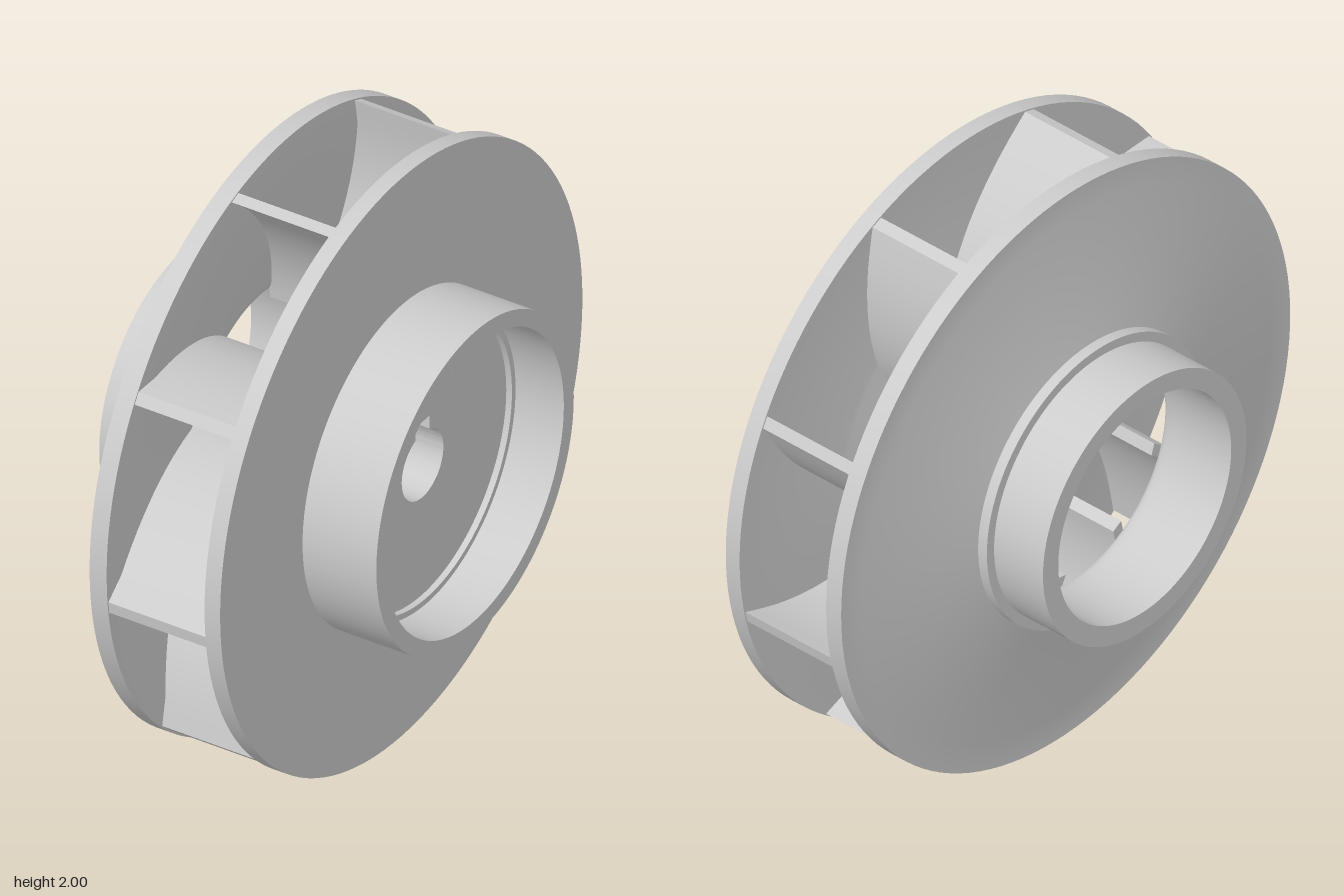
import * as THREE from 'three';
import { toCreasedNormals } from 'three/addons/utils/BufferGeometryUtils.js';

const BLADES = 9, TIP_R = 0.995, ROOT_R = 0.37;
const rad = THREE.MathUtils.degToRad;
const grey = new THREE.MeshStandardMaterial({ color: 0xcccccc });

function part(name, geometry) {
  const mesh = new THREE.Mesh(geometry, grey);
  mesh.name = name;
  return mesh;
}

// Revolve a closed [radius, x] profile around the x axis
function revolve(profile) {
  const g = new THREE.LatheGeometry(profile.map(([r, x]) => new THREE.Vector2(r, x)), 128);
  g.rotateZ(-Math.PI / 2);
  return toCreasedNormals(g, 0.45);
}

// Smooth a few [radius, x] points into a curve
function smooth(points, n) {
  return new THREE.SplineCurve(points.map(p => new THREE.Vector2(...p)))
    .getPoints(n).map(p => [p.x, p.y]);
}

// Inner wall of the shroud: flat at the rim, then a shallow cone
function shroudX(r) {
  return -0.145 - 0.08 * THREE.MathUtils.clamp((0.92 - r) / 0.47, 0, 1);
}

// Curved blade: four-cornered sections swept from root to tip
function bladeGeometry() {
  const steps = 16, sections = [], pos = [];
  for (let i = 0; i <= steps; i++) {
    const r = THREE.MathUtils.lerp(ROOT_R, TIP_R, i / steps);
    const mid = rad(28) * Math.pow((TIP_R - r) / (TIP_R - ROOT_R), 1.05);
    const half = 0.02 / r, left = shroudX(r) - 0.015, right = 0.21;
    sections.push([[left, -half], [right, -half], [right, half], [left, half]].map(([x, a]) =>
      [x, r * Math.sin(mid + a), r * Math.cos(mid + a)]));
  }
  const quad = (a, b, c, d) => pos.push(...a, ...b, ...c, ...a, ...c, ...d);
  for (let i = 0; i < steps; i++) {
    const s = sections[i], t = sections[i + 1];
    for (let k = 0; k < 4; k++) quad(s[k], s[(k + 1) % 4], t[(k + 1) % 4], t[k]);
  }
  quad(...sections[steps]);
  quad(...[...sections[0]].reverse());
  const g = new THREE.BufferGeometry();
  g.setAttribute('position', new THREE.Float32BufferAttribute(pos, 3));
  return toCreasedNormals(g, 0.5);
}

// Sleeve with the shaft bore and keyway cut through it
function hubCoreGeometry() {
  const shape = new THREE.Shape().absarc(0, 0, 0.175, 0, Math.PI * 2);
  const bore = 0.115, key = 0.038, a = Math.asin(key / bore);
  const hole = new THREE.Path();
  hole.moveTo(key, 0.155);
  hole.lineTo(key, bore * Math.cos(a));
  hole.absarc(0, 0, bore, Math.PI / 2 - a, Math.PI / 2 + a, true);
  hole.lineTo(-key, 0.155);
  hole.closePath();
  shape.holes.push(hole);
  const g = new THREE.ExtrudeGeometry(shape, { depth: 0.42, bevelEnabled: false, curveSegments: 64 });
  g.translate(0, 0, -0.09);
  g.rotateY(Math.PI / 2);
  return toCreasedNormals(g, 0.5);
}

export function createModel() {
  const model = new THREE.Group();
  model.name = 'impeller';
  const rotor = new THREE.Group();
  rotor.name = 'rotor';
  rotor.position.y = 1;
  model.add(rotor);

  // Back plate with flared hub and recessed rear collar
  rotor.add(part('backPlate', revolve([
    [0.175, -0.09],
    ...smooth([[0.19, -0.09], [0.2, -0.02], [0.235, 0.045], [0.3, 0.11], [0.4, 0.17], [0.56, 0.2]], 24),
    [1, 0.2], [1, 0.255], [0.545, 0.255], [0.545, 0.515], [0.49, 0.515],
    [0.49, 0.345], [0.47, 0.345], [0.47, 0.325], [0.285, 0.325], [0.285, 0.33],
    [0.175, 0.33], [0.175, -0.09],
  ])));
  rotor.add(part('hubCore', hubCoreGeometry()));

  // Shroud with conical outside, shoulder and inlet collar
  rotor.add(part('shroud', revolve([
    [0.385, -0.52], [0.453, -0.52], [0.453, -0.325], [0.485, -0.325], [0.485, -0.29],
    [0.91, -0.205], [1, -0.205], [1, -0.145], [0.92, -0.145],
    ...smooth([[0.47, shroudX(0.47)], [0.42, -0.232], [0.394, -0.252], [0.385, -0.285]], 10),
    [0.385, -0.52],
  ])));

  // Blades between the two plates
  const blade = bladeGeometry();
  for (let i = 0; i < BLADES; i++) {
    const mesh = part('blade' + (i + 1), blade);
    mesh.rotation.x = -rad(33 + i * 360 / BLADES);
    rotor.add(mesh);
  }
  return model;
}
